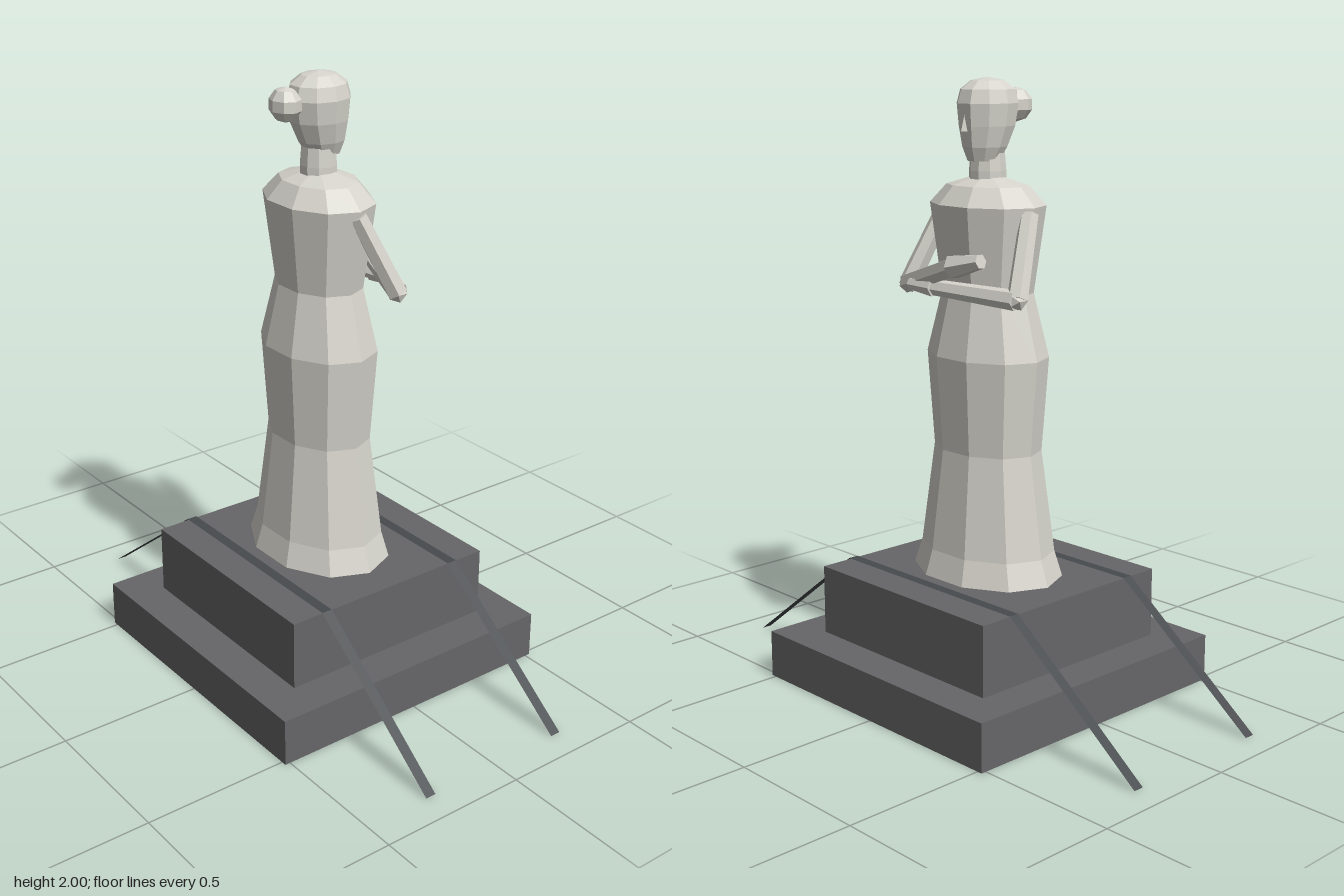
import * as THREE from 'three';

const stone = new THREE.MeshStandardMaterial({ color: 0xd6d4cc, flatShading: true, side: THREE.DoubleSide });
const plinthMat = new THREE.MeshStandardMaterial({ color: 0x666668 });
const strapMat = new THREE.MeshStandardMaterial({ color: 0x484b4e, side: THREE.DoubleSide });

function add(group, name, geometry, material, x = 0, y = 0, z = 0) {
  const mesh = new THREE.Mesh(geometry, material);
  mesh.name = name;
  mesh.position.set(x, y, z);
  group.add(mesh);
  return mesh;
}

// Ten-sided turned form, flattened in depth; profile is [radius, y]
function turned(profile, depth) {
  const pts = profile.map(([r, y]) => new THREE.Vector2(r, y));
  return new THREE.LatheGeometry(pts, 10, Math.PI / 2).scale(1, 1, depth);
}

// Faceted tapered limb between two points
function limb(group, name, a, b, ra, rb, sides = 6) {
  const from = new THREE.Vector3(...a), dir = new THREE.Vector3(...b).sub(from);
  const geo = new THREE.CylinderGeometry(rb, ra, dir.length(), sides);
  const mesh = add(group, name, geo, stone);
  mesh.position.copy(from).addScaledVector(dir, 0.5);
  mesh.quaternion.setFromUnitVectors(new THREE.Vector3(0, 1, 0), dir.normalize());
  return mesh;
}

// Ribbon of constant width along z, following [x, y] points
function ribbon(path, width) {
  const pos = [], index = [];
  path.forEach(([x, y], i) => {
    pos.push(x, y, width / 2, x, y, -width / 2);
    if (i) {
      const k = i * 2;
      index.push(k - 2, k, k - 1, k, k + 1, k - 1);
    }
  });
  const geo = new THREE.BufferGeometry();
  geo.setAttribute('position', new THREE.Float32BufferAttribute(pos, 3));
  geo.setIndex(index);
  const flat = geo.toNonIndexed();
  flat.computeVertexNormals();
  return flat;
}

export function createModel() {
  const model = new THREE.Group();
  model.name = 'statue';

  // Stepped plinth
  add(model, 'lowerPlinth', new THREE.BoxGeometry(1.035, 0.158, 1.035), plinthMat, 0, 0.079, 0);
  add(model, 'upperPlinth', new THREE.BoxGeometry(0.775, 0.234, 0.775), plinthMat, 0, 0.273, 0);

  // Flat straps over the plinth, sloping to the ground on both sides
  const strapPath = [[-0.905, 0.001], [-0.39, 0.393], [0.39, 0.393], [0.905, 0.001]];
  for (const z of [-0.26, 0.26]) add(model, 'strap', ribbon(strapPath, 0.036), strapMat, 0, 0, z);

  // Long dress and shoulders
  add(model, 'dress', turned([
    [0.28, 0.39], [0.25, 0.475], [0.2, 0.81], [0.225, 1.12],
    [0.168, 1.325], [0.212, 1.605], [0.15, 1.665], [0.06, 1.69], [0, 1.69],
  ], 0.745), stone);

  // Neck and head, with the face towards -z
  add(model, 'neck', turned([[0.06, 1.67], [0.06, 1.71], [0.055, 1.77]], 1), stone);
  const head = turned([
    [0, 1.735], [0.048, 1.742], [0.068, 1.785], [0.085, 1.85],
    [0.093, 1.92], [0.082, 1.963], [0.05, 1.99], [0, 2],
  ], 1.15);
  const p = head.attributes.position;
  for (let i = 0; i < p.count; i++) {
    const drop = Math.max(0, 1.87 - p.getY(i));
    p.setZ(i, p.getZ(i) - drop * 0.15);
  }
  add(model, 'head', head, stone);
  const nose = new THREE.ConeGeometry(0.014, 0.05, 4);
  add(model, 'nose', nose, stone, 0, 1.86, -0.1);

  // Hair bun behind the head
  add(model, 'hairBun', new THREE.SphereGeometry(0.058, 8, 5).scale(1, 0.95, 0.85), stone, 0, 1.912, 0.125);

  // Upper arms
  for (const s of [-1, 1]) {
    const elbow = [s * 0.252, 1.335, -0.115];
    limb(model, 'upperArm', [s * 0.192, 1.585, -0.005], elbow, 0.03, 0.034);
    add(model, 'elbow', new THREE.IcosahedronGeometry(0.034, 0), stone, ...elbow);
  }

  // Left forearm raised across the body, right forearm held below it
  limb(model, 'leftForearm', [0.252, 1.335, -0.12], [-0.07, 1.43, -0.205], 0.033, 0.033);
  limb(model, 'leftHand', [-0.06, 1.427, -0.205], [-0.18, 1.455, -0.2], 0.04, 0.024);
  limb(model, 'rightForearm', [-0.252, 1.335, -0.12], [0.08, 1.345, -0.165], 0.033, 0.026);
  limb(model, 'rightHand', [0.07, 1.345, -0.165], [0.185, 1.345, -0.165], 0.032, 0.02);

  return model;
}
